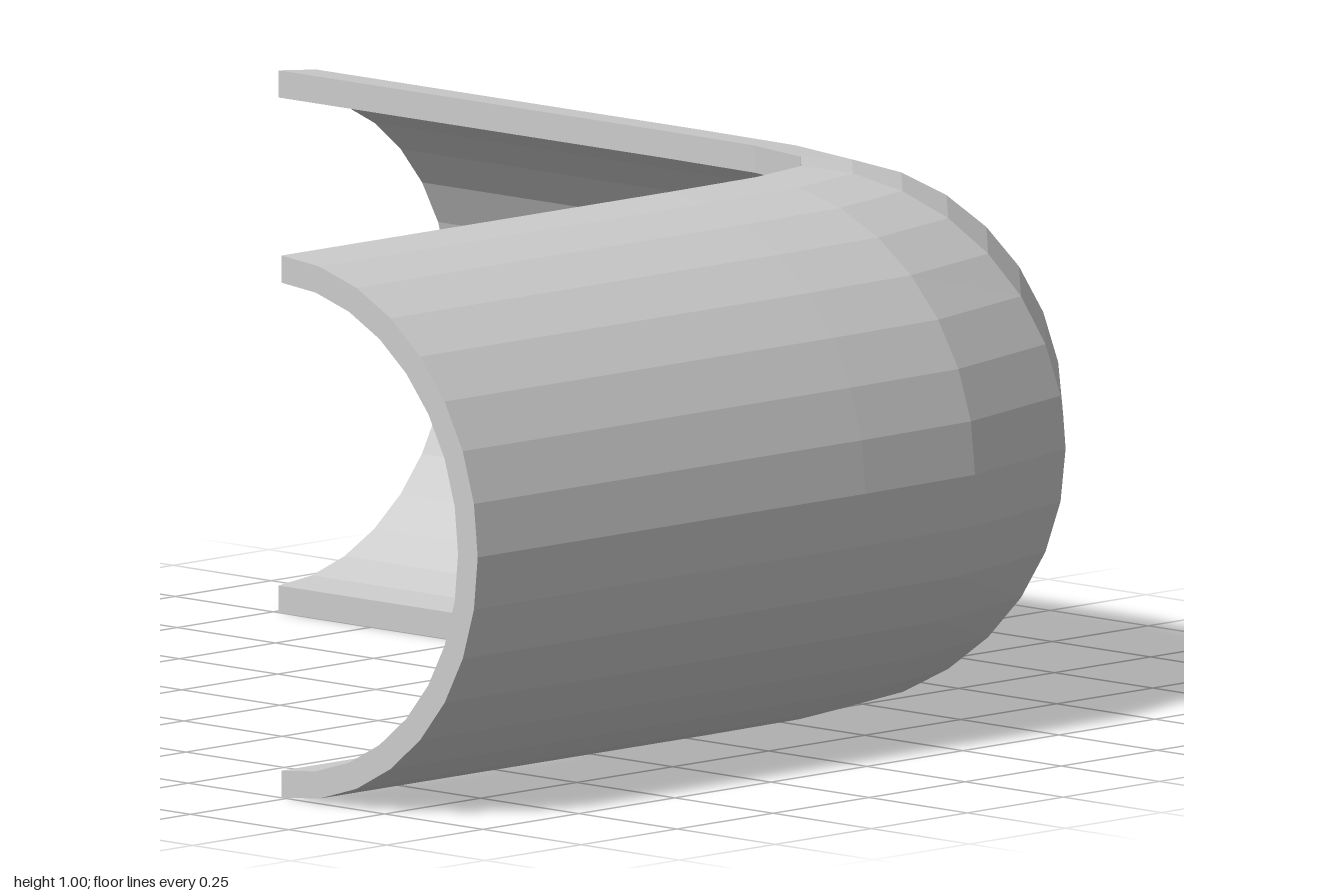
import * as THREE from 'three';

const OUTER = 0.5, INNER = 0.45, SEGMENTS = 16;
const CORNER = { x: 0.487, z: -0.5 };

// Path stations relative to the corner: [u along x, v along z, turn in degrees]
function pathStations() {
  const firstHalf = [[-1.474, 0, 0], [-0.49, 0, 0], [-0.257, 0.005, 7], [-0.109, 0.036, 28.5]];
  const secondHalf = firstHalf.map(([u, v, turn]) => [-v, -u, 90 - turn]).reverse();
  secondHalf[secondHalf.length - 1][1] = 1.5;
  return [...firstHalf, ...secondHalf];
}

// Closed half-ring section: outer arc upwards, inner arc back down
function halfRing() {
  const outer = [], inner = [];
  for (let i = 0; i <= SEGMENTS; i++) {
    const a = (i / SEGMENTS - 0.5) * Math.PI;
    outer.push([OUTER * Math.cos(a), OUTER * Math.sin(a)]);
    inner.unshift([INNER * Math.cos(a), INNER * Math.sin(a)]);
  }
  return [...outer, ...inner];
}

function sweepGeometry(section, stations) {
  const positions = [], index = [];
  const n = section.length;
  for (const [u, v, turn] of stations) {
    const a = THREE.MathUtils.degToRad(turn);
    for (const [out, up] of section) {
      positions.push(CORNER.x + u + out * Math.sin(a), OUTER + up, CORNER.z + v - out * Math.cos(a));
    }
  }
  const quad = (a, b, c, d) => index.push(a, b, c, a, c, d);

  // Walls and long rims
  for (let s = 0; s < stations.length - 1; s++) {
    for (let j = 0; j < n; j++) {
      const k = (j + 1) % n;
      quad(s * n + j, s * n + k, (s + 1) * n + k, (s + 1) * n + j);
    }
  }
  // End faces
  const last = (stations.length - 1) * n;
  for (let j = 0; j < SEGMENTS; j++) {
    const i0 = n - 1 - j, i1 = n - 2 - j;
    quad(j, i0, i1, j + 1);
    quad(last + j, last + j + 1, last + i1, last + i0);
  }

  const geometry = new THREE.BufferGeometry();
  geometry.setAttribute('position', new THREE.Float32BufferAttribute(positions, 3));
  geometry.setIndex(index);
  const flat = geometry.toNonIndexed();
  flat.computeVertexNormals();
  return flat;
}

export function createModel() {
  const group = new THREE.Group();
  group.name = 'halfPipeCorner';
  const material = new THREE.MeshStandardMaterial({ color: 0xcccccc, flatShading: true });
  const shell = new THREE.Mesh(sweepGeometry(halfRing(), pathStations()), material);
  shell.name = 'curvedShell';
  group.add(shell);
  return group;
}
